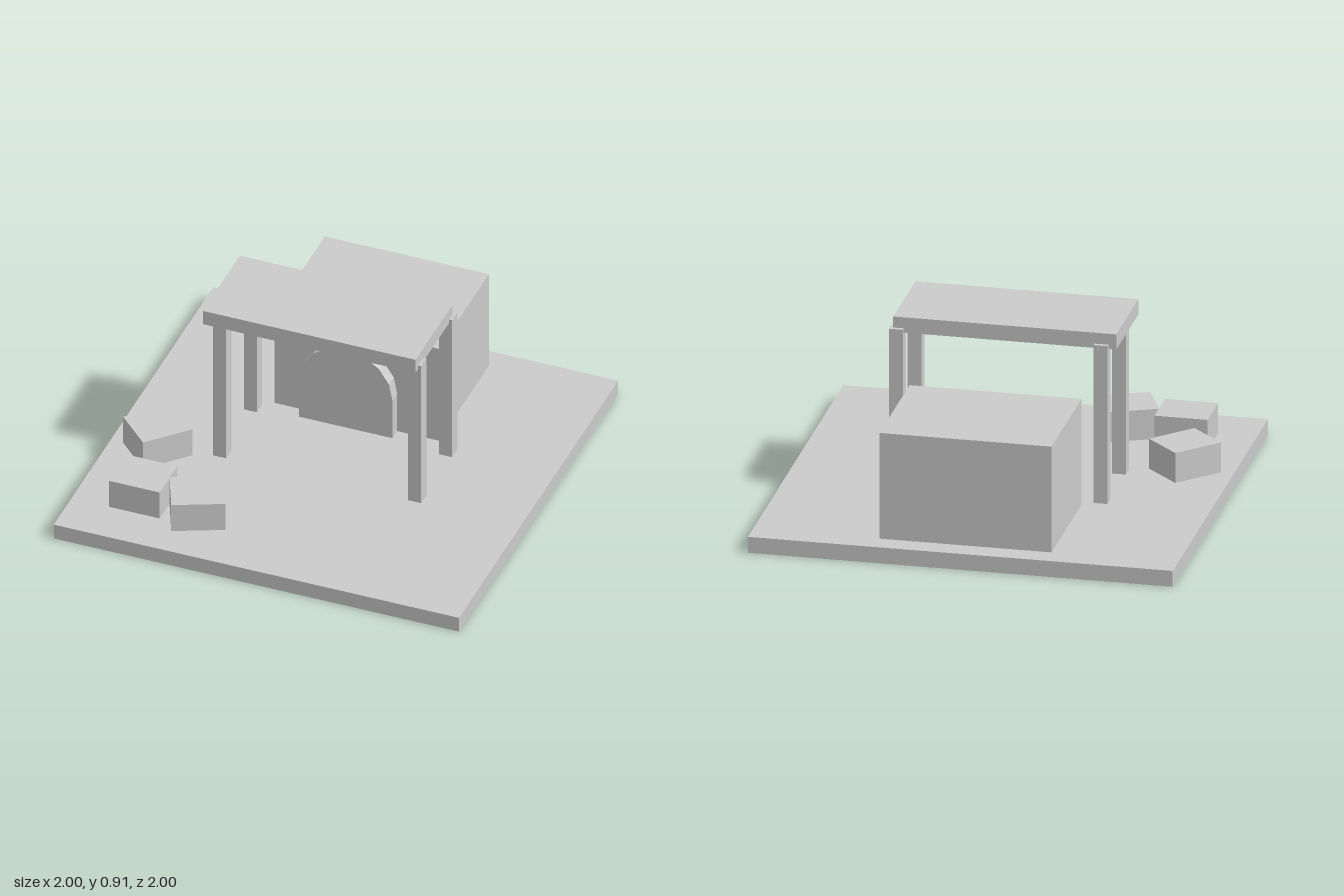
import * as THREE from 'three';

export function createModel() {
  const model = new THREE.Group();
  const material = new THREE.MeshStandardMaterial({ color: 0xcccccc, flatShading: true });
  const floor = 0.078;

  // Adds a box given its size, the centre of its underside and its turn about y
  function addBox(name, [w, h, d], [x, y, z], turn = 0) {
    const mesh = new THREE.Mesh(new THREE.BoxGeometry(w, h, d), material);
    mesh.name = name;
    mesh.position.set(x, y + h / 2, z);
    mesh.rotation.y = turn;
    model.add(mesh);
  }

  // Ground slab and building block
  addBox('groundSlab', [2, floor, 2], [0, 0, 0]);
  addBox('building', [0.81, 0.52, 0.63], [0, floor, -0.575]);

  // Canopy: four posts and a slightly offset roof
  for (const x of [-0.486, 0.477]) {
    for (const z of [-0.194, 0.194]) {
      addBox('canopyPost', [0.065, 0.776, 0.065], [x, floor, z]);
    }
  }
  addBox('canopyRoof', [1.05, 0.075, 0.465], [-0.031, 0.833, 0.026]);

  // Arched door slab, its round top cut into eight straight steps
  const radius = 0.23;
  const spring = 0.29;
  const outline = [new THREE.Vector2(-radius, floor), new THREE.Vector2(radius, floor)];
  for (let i = 0; i <= 8; i++) {
    const a = (i / 8) * Math.PI;
    outline.push(new THREE.Vector2(radius * Math.cos(a), spring + radius * Math.sin(a)));
  }
  const door = new THREE.Mesh(
    new THREE.ExtrudeGeometry(new THREE.Shape(outline), { depth: 0.06, bevelEnabled: false }),
    material
  );
  door.name = 'archedDoor';
  door.position.set(-0.03, 0, -0.26);
  model.add(door);

  // Loose crates: x, z, turn
  for (const [x, z, turn] of [
    [-0.69, 0.666, 0],
    [-0.409, 0.698, 0.41],
    [-0.772, 0.273, 0.8],
  ]) {
    addBox('crate', [0.25, 0.147, 0.222], [x, floor, z], turn);
  }

  return model;
}
